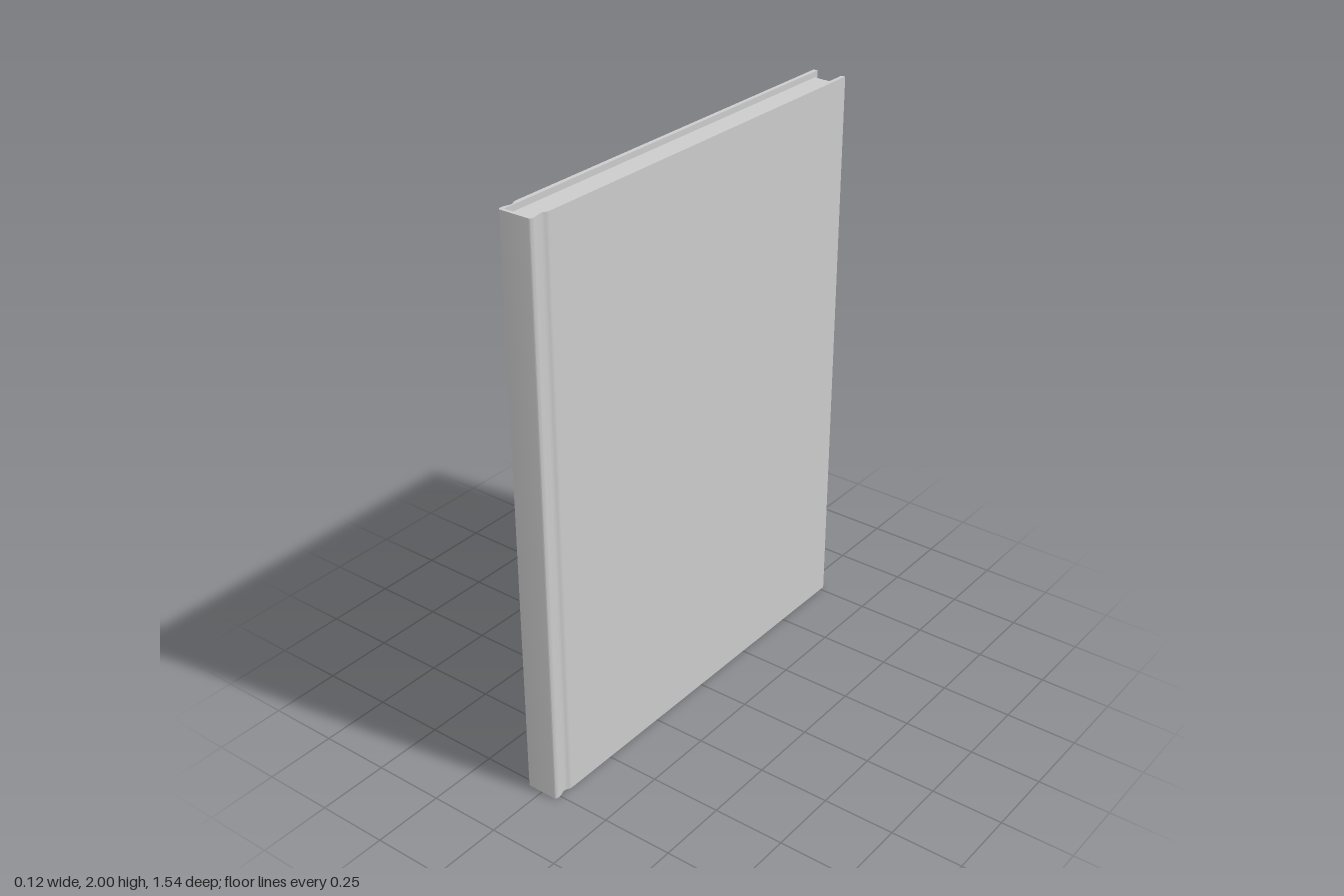
import * as THREE from 'three';
import { toCreasedNormals } from 'three/addons/utils/BufferGeometryUtils.js';

const HEIGHT = 2;
const RECESS = 0.02; // covers overhang the pages at top and bottom
const material = new THREE.MeshStandardMaterial({ color: 0xcccccc });

// Extrudes a plan outline (x, z) upwards from y = bottom.
function extrudeUp(name, shape, bottom, height) {
  const geometry = new THREE.ExtrudeGeometry(shape, { depth: height, bevelEnabled: false, curveSegments: 8 });
  geometry.rotateX(Math.PI / 2).translate(0, bottom + height, 0);
  const mesh = new THREE.Mesh(toCreasedNormals(geometry, Math.PI / 5), material);
  mesh.name = name;
  return mesh;
}

// Two boards joined by the spine, with a hinge groove on each side.
function coverShape() {
  const s = new THREE.Shape();
  s.moveTo(0.062, -0.77);
  s.lineTo(0.062, 0.69);
  s.bezierCurveTo(0.062, 0.71, 0.053, 0.705, 0.053, 0.722);
  s.bezierCurveTo(0.053, 0.735, 0.06, 0.738, 0.06, 0.757);
  s.quadraticCurveTo(0.06, 0.77, 0.05, 0.77);
  s.lineTo(-0.05, 0.77);
  s.quadraticCurveTo(-0.06, 0.77, -0.06, 0.757);
  s.bezierCurveTo(-0.06, 0.738, -0.053, 0.735, -0.053, 0.722);
  s.bezierCurveTo(-0.053, 0.705, -0.062, 0.71, -0.062, 0.69);
  s.lineTo(-0.062, -0.77);
  s.lineTo(-0.047, -0.77);
  s.lineTo(-0.047, 0.758);
  s.lineTo(0.047, 0.758);
  s.lineTo(0.047, -0.77);
  s.closePath();
  return s;
}

// Page block with a hollow fore edge.
function pagesShape() {
  const s = new THREE.Shape();
  s.moveTo(0.047, -0.758);
  s.lineTo(0.047, 0.758);
  s.lineTo(-0.047, 0.758);
  s.lineTo(-0.047, -0.758);
  s.bezierCurveTo(-0.03, -0.749, 0.03, -0.749, 0.047, -0.758);
  return s;
}

export function createModel() {
  const book = new THREE.Group();
  book.name = 'book';
  book.add(
    extrudeUp('cover', coverShape(), 0, HEIGHT),
    extrudeUp('pages', pagesShape(), RECESS, HEIGHT - 2 * RECESS)
  );
  return book;
}
